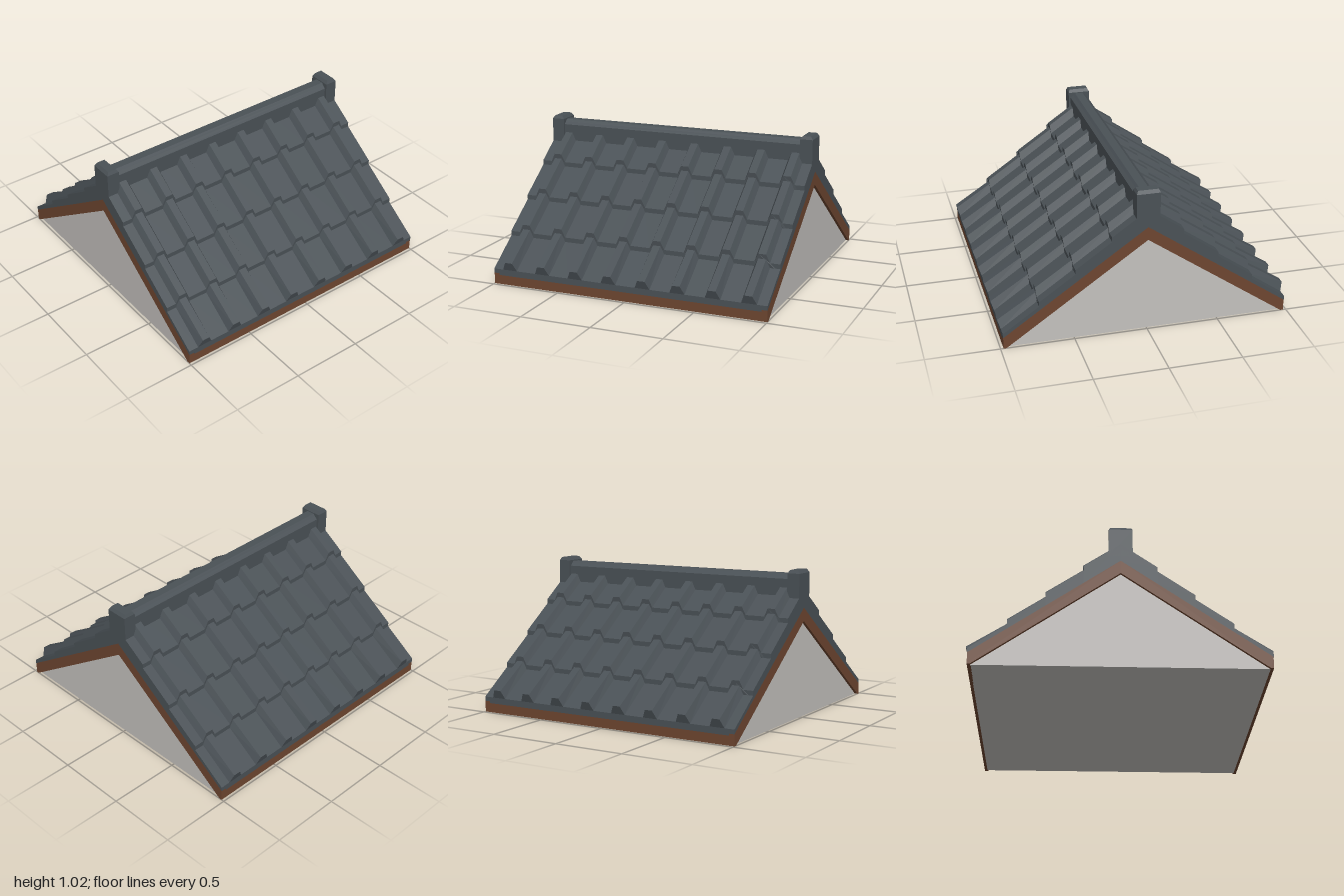
import * as THREE from 'three';

const SLOPE = 0.7;      // roof pitch, rise over run
const APEX = 0.765;     // underside of the tiles at the ridge line

export function createModel() {
  const roof = new THREE.Group();
  roof.name = 'gableRoof';
  const slate = new THREE.MeshStandardMaterial({ color: 0x4a5156 });
  const wood = new THREE.MeshStandardMaterial({ color: 0x6e4630 });
  const plaster = new THREE.MeshStandardMaterial({ color: 0xc4c1be });
  slate.name = 'slateGrey';
  wood.name = 'brownWood';
  plaster.name = 'paleGable';

  const add = (name, geometry, material, parent = roof) => {
    const mesh = new THREE.Mesh(geometry, material);
    mesh.name = name;
    parent.add(mesh);
    return mesh;
  };
  const toShape = (pts) => new THREE.Shape(pts.map(([x, y]) => new THREE.Vector2(x, y)));

  // Extrudes a (z, y) outline from x0 to x1
  const alongX = (pts, x0, x1) => {
    const g = new THREE.ExtrudeGeometry(toShape(pts), { depth: x1 - x0, bevelEnabled: false });
    return g.translate(0, 0, x0).rotateY(Math.PI / 2);
  };

  // One ribbed tile course, extruded toward the eave and sheared to the pitch
  const tileCourse = (front, back, top, lean) => {
    const ribHeight = 0.057;
    const pts = [[-1, APEX - SLOPE * front], [-1, top]];
    for (let i = 0; i < 8; i++) {
      const c = -0.875 + i * 0.25;
      pts.push([c - 0.054, top], [c - 0.027, top + ribHeight], [c + 0.027, top + ribHeight], [c + 0.054, top]);
    }
    pts.push([1, top], [1, APEX - SLOPE * front]);
    const g = new THREE.ExtrudeGeometry(toShape(pts), { depth: front - back, bevelEnabled: false });
    g.translate(0, 0, back);
    const p = g.attributes.position;
    for (let i = 0; i < p.count; i++) {
      let y = p.getY(i), z = p.getZ(i);
      y += SLOPE * (front - z);
      if (z > front - 0.001) z += lean * Math.max(0, p.getY(i) - top);
      p.setXYZ(i, p.getX(i), y, z);
    }
    g.computeVertexNormals();
    return g;
  };

  // Two matching slopes of four stepped courses, with eave boards
  for (const side of ['front', 'back']) {
    const slopeGroup = new THREE.Group();
    slopeGroup.name = side + 'Slope';
    if (side === 'back') slopeGroup.rotation.y = Math.PI;
    for (let k = 0; k < 4; k++) {
      const front = 0.982 - k * 0.246;
      const back = k === 3 ? 0 : front - 0.246;
      add('tileCourse' + (k + 1), tileCourse(front, back, 0.108 + k * 0.204, k === 0 ? 0.32 : 0.08), slate, slopeGroup);
    }
    const drip = new THREE.BoxGeometry(1.92, 0.036, 0.03).translate(0, 0.083, 0.967);
    add('eaveDrip', drip, slate, slopeGroup);
    const fascia = new THREE.BoxGeometry(1.92, 0.065, 0.024).translate(0, 0.0325, 0.968);
    add('fasciaBoard', fascia, wood, slopeGroup);
    roof.add(slopeGroup);
  }

  // Gable body with closed floor
  add('gableBody', alongX([[-0.96, 0], [0, 0.672], [0.96, 0]], -0.98, 0.98), plaster);

  // Rake boards and ridge end posts at both gables
  const rake = [[-0.98, 0], [-0.98, 0.079], [0, APEX], [0.98, 0.079],
    [0.98, 0], [0.96, 0], [0, 0.672], [-0.96, 0]];
  for (const s of [-1, 1]) {
    const label = s > 0 ? 'left' : 'right';
    add(label + 'RakeBoard', alongX(rake, s > 0 ? 0.96 : -1, s > 0 ? 1 : -0.96), wood);
    const post = new THREE.BoxGeometry(0.09, 2, 0.16, 1, 2, 1).toNonIndexed();
    const p = post.attributes.position;
    for (let i = 0; i < p.count; i++) {
      const level = Math.round(p.getY(i)) + 1;
      const isTop = level === 2;
      p.setXYZ(i, p.getX(i) * (isTop ? 0.65 : 1), [0.8, 1.003, 1.025][level], p.getZ(i) * (isTop ? 0.87 : 1));
    }
    post.computeVertexNormals();
    add(label + 'RidgePost', post.translate(s * 0.955, 0, 0), slate);
  }

  // Ridge cap with bevelled top
  const half = [[0.065, 0.8], [0.065, 0.962], [0.045, 0.98], [0.03, 0.996]];
  const ridge = [...half, ...half.map(([z, y]) => [-z, y]).reverse()];
  add('ridgeCap', alongX(ridge, -0.93, 0.93), slate);

  return roof;
}
